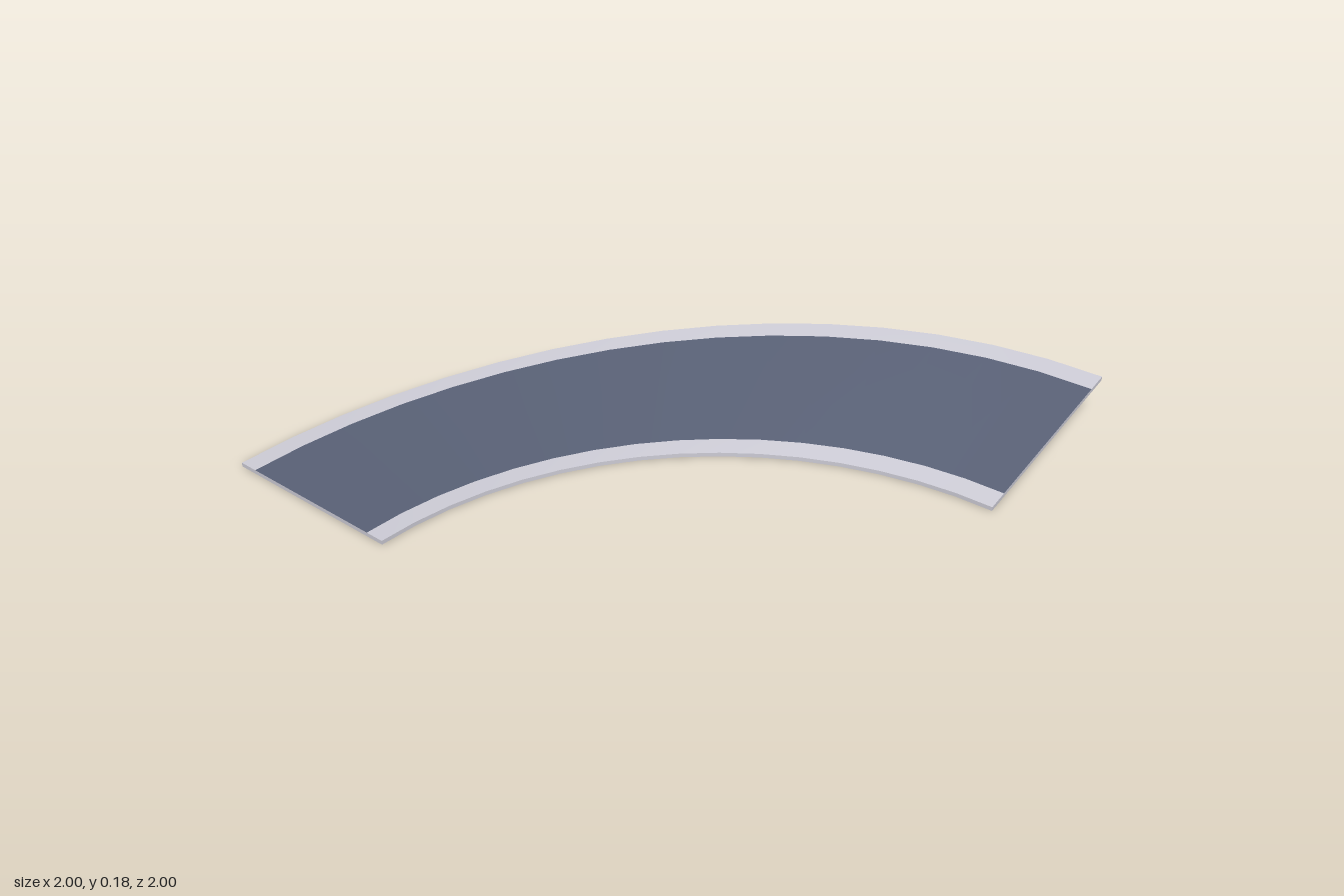
import * as THREE from 'three';
import { mergeVertices } from 'three/addons/utils/BufferGeometryUtils.js';

const SEGMENTS = 16;
const INNER = 1.335, OUTER = 2, KERB = 0.067;
const THICK = 0.014, RISE = 0.166;

// Point on the banked bend: angle t in 0..1, radius r, height above the underside
function point(t, r, h) {
  const a = t * Math.PI / 2;
  const bank = RISE * Math.sin(a) ** 2 * (r - INNER) / (OUTER - INNER);
  return [1 - r * Math.cos(a), bank + h, 1 - r * Math.sin(a)];
}

// Join quads into one surface with smooth normals
function facesToGeometry(quads) {
  const pos = [];
  for (const [a, b, c, d] of quads) pos.push(...a, ...b, ...c, ...a, ...c, ...d);
  const geo = new THREE.BufferGeometry();
  geo.setAttribute('position', new THREE.Float32BufferAttribute(pos, 3));
  const merged = mergeVertices(geo, 1e-5);
  merged.computeVertexNormals();
  return merged;
}

// Sweep one edge of the cross-section, from [radius, height] p to q, round the bend
function sweep(p, q) {
  const quads = [];
  for (let i = 0; i < SEGMENTS; i++) {
    const t0 = i / SEGMENTS, t1 = (i + 1) / SEGMENTS;
    quads.push([point(t0, ...p), point(t1, ...p), point(t1, ...q), point(t0, ...q)]);
  }
  return quads;
}

export function createModel() {
  const group = new THREE.Group();
  const material = (name, color) => {
    const m = new THREE.MeshStandardMaterial({ color });
    m.name = name;
    return m;
  };
  const asphalt = material('asphalt', 0x596176);
  const kerbGrey = material('kerb grey', 0xcdccd6);

  const add = (name, quads, mat) => {
    const mesh = new THREE.Mesh(facesToGeometry(quads), mat);
    mesh.name = name;
    group.add(mesh);
  };

  // Top surface: road between two kerb strips
  const a = INNER + KERB, b = OUTER - KERB;
  add('innerKerb', sweep([INNER, THICK], [a, THICK]), kerbGrey);
  add('road', sweep([a, THICK], [b, THICK]), asphalt);
  add('outerKerb', sweep([b, THICK], [OUTER, THICK]), kerbGrey);

  // Slab sides and underside
  add('innerSide', sweep([INNER, 0], [INNER, THICK]), kerbGrey);
  add('outerSide', sweep([OUTER, THICK], [OUTER, 0]), kerbGrey);
  add('underside', sweep([OUTER, 0], [INNER, 0]), kerbGrey);

  // End caps
  const cap = (t) => [point(t, OUTER, 0), point(t, INNER, 0), point(t, INNER, THICK), point(t, OUTER, THICK)];
  add('startCap', [cap(0)], kerbGrey);
  add('endCap', [cap(1).reverse()], kerbGrey);

  return group;
}
